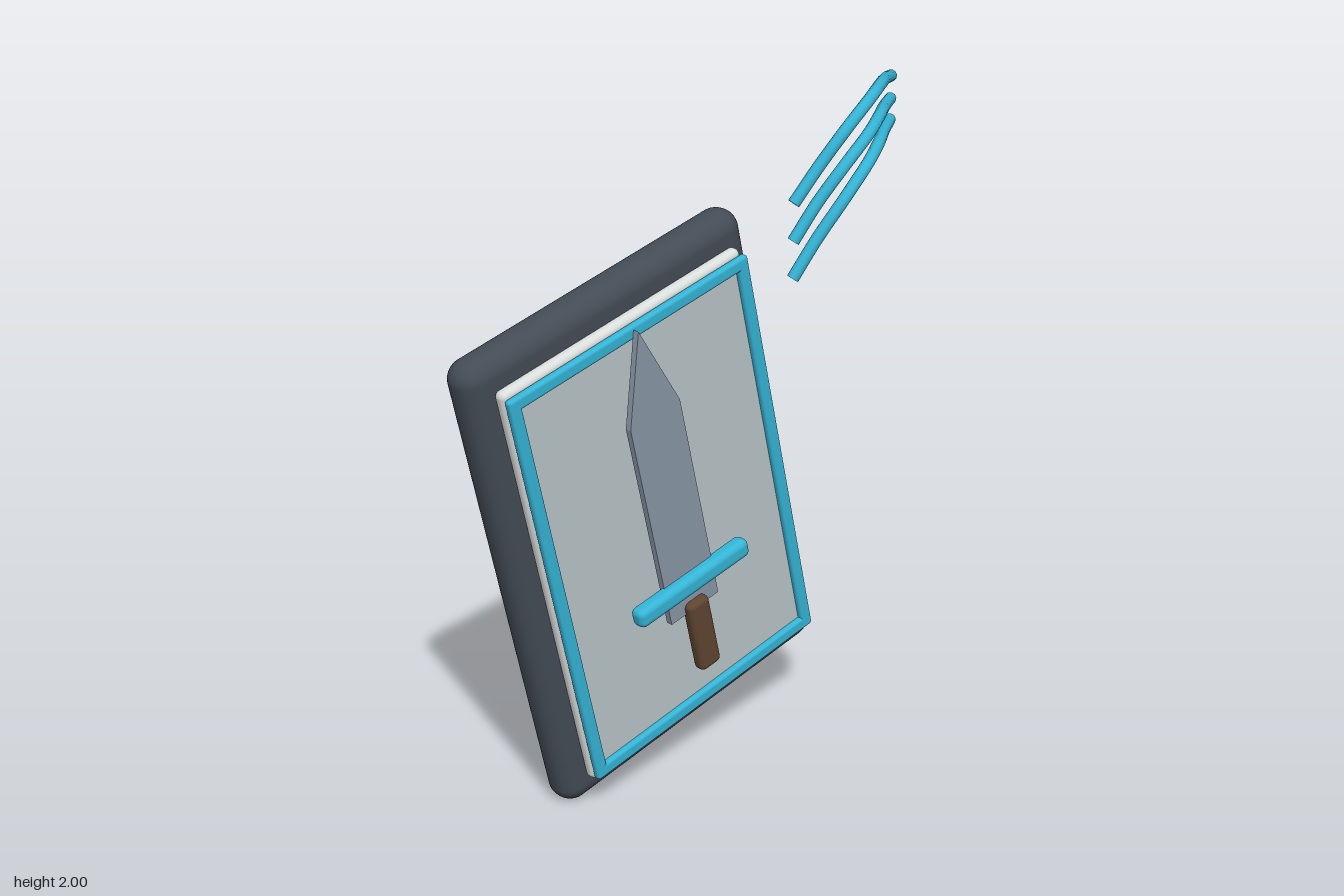
import * as THREE from 'three';
import { RoundedBoxGeometry } from 'three/addons/geometries/RoundedBoxGeometry.js';

const paint = (name, color, side = THREE.FrontSide) => {
  const m = new THREE.MeshStandardMaterial({ color, side });
  m.name = name;
  return m;
};

export function createModel() {
  const slate = paint('slate', 0x434c55);
  const silver = paint('silver', 0xd9dddb);
  const glass = paint('pale glass', 0xbac6c8);
  const cyan = paint('cyan', 0x35b4d6);
  const cyanTube = paint('cyan ribbon', 0x35b4d6, THREE.DoubleSide);
  const steel = paint('steel', 0x8a97a7);
  const brown = paint('brown', 0x5f4530);

  const model = new THREE.Group();
  model.name = 'swordCard';

  // Tilted card that carries every flat layer
  const card = new THREE.Group();
  card.name = 'card';
  card.position.set(-0.16, 0.8375, 0);
  card.rotation.z = 0.225;
  model.add(card);

  const add = (name, geometry, material, x = 0, y = 0, z = 0) => {
    const mesh = new THREE.Mesh(geometry, material);
    mesh.name = name;
    mesh.position.set(x, y, z);
    card.add(mesh);
    return mesh;
  };
  const rounded = (w, h, d, r) => new RoundedBoxGeometry(w, h, d, 4, r);

  // Stacked slabs
  add('body', rounded(1.045, 1.503, 0.126, 0.06), slate, 0, 0, -0.104);
  add('backing', rounded(0.9, 1.33, 0.042, 0.019), silver, 0, 0, -0.02);
  add('panel', new THREE.BoxGeometry(0.85, 1.25, 0.009), glass, 0, 0, 0.006);

  // Frame bars around the panel
  for (const s of [-1, 1]) {
    add('frameSide', rounded(0.04, 1.3, 0.026, 0.01), cyan, s * 0.43, 0, 0.015);
    add('frameEnd', rounded(0.9, 0.04, 0.026, 0.01), cyan, 0, s * 0.63, 0.015);
  }

  // Sword
  const outline = [[-0.095, -0.3], [0.095, -0.3], [0.095, 0.37], [0, 0.64], [-0.095, 0.37]];
  const bladeShape = new THREE.Shape(outline.map(([x, y]) => new THREE.Vector2(x, y)));
  add('blade', new THREE.ExtrudeGeometry(bladeShape, { depth: 0.02, bevelEnabled: false }), steel, 0, 0, 0.029);
  add('guard', rounded(0.44, 0.06, 0.052, 0.02), cyan, 0, -0.2, 0.056);
  add('handle', rounded(0.08, 0.24, 0.045, 0.018), brown, 0.003, -0.386, 0.053);

  // Three wind ribbons sweeping off the upper corner
  const xs = [0.248, 0.32, 0.4, 0.5, 0.6, 0.7, 0.813];
  const zs = [0.092, 0.115, 0.142, 0.135, 0.085, 0.012, -0.068];
  const heights = [
    [1.71, 1.805, 1.903, 1.968, 1.983, 1.966, 1.937],
    [1.598, 1.702, 1.8, 1.867, 1.891, 1.884, 1.868],
    [1.487, 1.594, 1.7, 1.78, 1.81, 1.81, 1.804],
  ];
  for (const ys of heights) {
    const path = new THREE.CatmullRomCurve3(xs.map((x, i) => new THREE.Vector3(x, ys[i], zs[i])));
    const ribbon = new THREE.Mesh(new THREE.TubeGeometry(path, 40, 0.018, 10), cyanTube);
    ribbon.name = 'windRibbon';
    model.add(ribbon);
  }
  return model;
}
